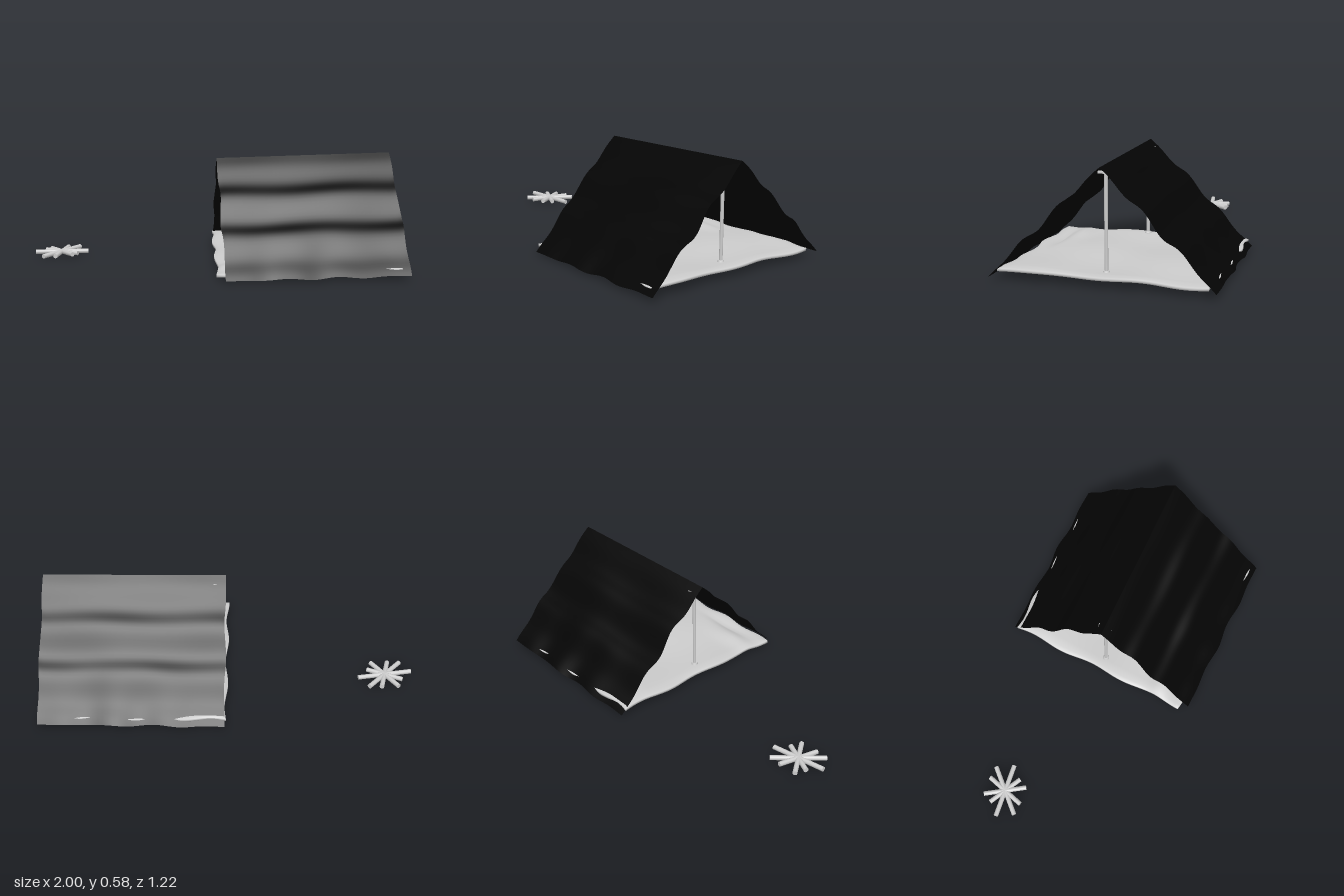
import * as THREE from 'three';
import { mergeVertices } from 'three/addons/utils/BufferGeometryUtils.js';

const grey = new THREE.MeshStandardMaterial({ color: 0xcccccc });
const cloth = new THREE.MeshStandardMaterial({ color: 0x040404, side: THREE.DoubleSide });
const V = (x, y, z) => new THREE.Vector3(x, y, z);

function add(parent, name, geometry, material = grey) {
  const mesh = new THREE.Mesh(geometry, material);
  mesh.name = name;
  parent.add(mesh);
  return mesh;
}

// Moves every vertex of a geometry by a rule
function deform(geometry, rule) {
  const p = geometry.attributes.position;
  const v = new THREE.Vector3();
  for (let i = 0; i < p.count; i++) {
    v.copy(rule(v.fromBufferAttribute(p, i)));
    p.setXYZ(i, v.x, v.y, v.z);
  }
  geometry.computeVertexNormals();
  return geometry;
}

// Round bar between two points
function bar(parent, name, a, b, radius) {
  const mesh = add(parent, name, new THREE.CylinderGeometry(radius, radius, a.distanceTo(b), 12));
  mesh.position.copy(a).lerp(b, 0.5);
  mesh.quaternion.setFromUnitVectors(V(0, 1, 0), b.clone().sub(a).normalize());
  return mesh;
}

// One slope of the canopy: ridge to ground, with soft sagging folds
function slope(ground0, ground1, ridge0, ridge1) {
  return deform(new THREE.PlaneGeometry(1, 1, 40, 40), (v) => {
    const s = v.x + 0.5, f = 0.5 - v.y;
    const p = ridge0.clone().lerp(ridge1, s).lerp(ground0.clone().lerp(ground1, s), f);
    const span = Math.sin(Math.PI * f);
    p.y += span * (0.008 + 0.015 * Math.cos(6 * Math.PI * (f - 0.37)) + 0.005 * Math.sin(9 * s + 5 * f));
    p.y += f ** 6 * 0.005 * Math.sin(23 * s) * Math.sin(Math.PI * s);
    p.z += f ** 4 * 0.008 * Math.sin(19 * s) * Math.sin(Math.PI * s);
    p.x += 0.006 * Math.sin(14 * f) * span * (2 * s - 1);
    return p;
  });
}

// Ground sheet: a wavy slab with soft edges and a few rumples
function groundSheet() {
  const corner = [V(0.05, 0.038, -0.59), V(0.96, 0.05, -0.45), V(-0.12, 0.03, 0.42), V(0.81, 0.05, 0.57)];
  const bump = (s, t, cs, ct, w, l) => Math.exp(-(((s - cs) / w) ** 2) - ((t - ct) / l) ** 2);
  const box = new THREE.BoxGeometry(1, 1, 1, 48, 2, 48);
  box.deleteAttribute('normal');
  box.deleteAttribute('uv');
  return deform(mergeVertices(box), (v) => {
    const s = v.x + 0.5, t = v.z + 0.5;
    const p = corner[0].clone().lerp(corner[1], s).lerp(corner[2].clone().lerp(corner[3], s), t);
    const edge = Math.min(1, 24 * Math.min(s, 1 - s, t, 1 - t));
    p.y += v.y * (0.014 + 0.012 * edge);
    p.y += 0.004 * Math.sin(11 * s + 4 * t) + 0.004 * Math.sin(13 * t - 3 * s);
    p.y += 0.022 * bump(s, t, 0.15, 0.86, 0.14, 0.05) + 0.015 * bump(s, t, 0.3, 0.15, 0.16, 0.04);
    p.y -= 0.022 * bump(s, t, 0.3, 0.94, 0.16, 0.03);
    p.x += 0.008 * Math.sin(17 * t) * (1 - edge);
    p.z += 0.008 * Math.sin(21 * s) * (1 - edge);
    return p;
  });
}

export function createModel() {
  const root = new THREE.Group();
  root.name = 'campsite';
  const tent = new THREE.Group();
  tent.name = 'tent';
  root.add(tent);

  // Canopy
  const ridge = [V(-0.03, 0.56, -0.055), V(0.91, 0.58, 0.06)];
  add(tent, 'canopyFrontSlope', slope(V(-0.09, 0.01, 0.47), V(0.84, 0.025, 0.61), ...ridge), cloth);
  add(tent, 'canopyBackSlope', slope(V(0.06, 0.01, -0.61), V(1.0, 0.035, -0.48), ...ridge), cloth);

  // Floor
  add(tent, 'groundSheet', groundSheet());

  // Poles with a short crossbar on top and a small foot
  for (const [x, z, top] of [[0.03, -0.05, 0.525], [0.79, 0.05, 0.535]]) {
    const pole = new THREE.Group();
    pole.name = 'tentPole';
    tent.add(pole);
    bar(pole, 'poleShaft', V(x, 0.05, z), V(x, top, z), 0.009);
    const cap = add(pole, 'poleCap', new THREE.BoxGeometry(0.02, 0.01, 0.075));
    cap.position.set(x, top, z);
    const foot = add(pole, 'poleFoot', new THREE.CylinderGeometry(0.014, 0.018, 0.01, 12));
    foot.position.set(x, 0.06, z);
  }

  // Firewood: sticks crossed in a star
  const fire = new THREE.Group();
  fire.name = 'firewood';
  fire.position.set(-0.855, 0.02, -0.335);
  root.add(fire);
  const sticks = [[0, 0.29, -0.004], [40, 0.28, 0.004], [67, 0.22, 0.003], [116, 0.23, -0.003], [146, 0.2, 0.002]];
  for (const [deg, length, tilt] of sticks) {
    const a = THREE.MathUtils.degToRad(deg);
    const end = V(Math.cos(a) * length / 2, tilt, -Math.sin(a) * length / 2);
    bar(fire, 'stick', end.clone().negate(), end, 0.0125);
  }
  return root;
}
